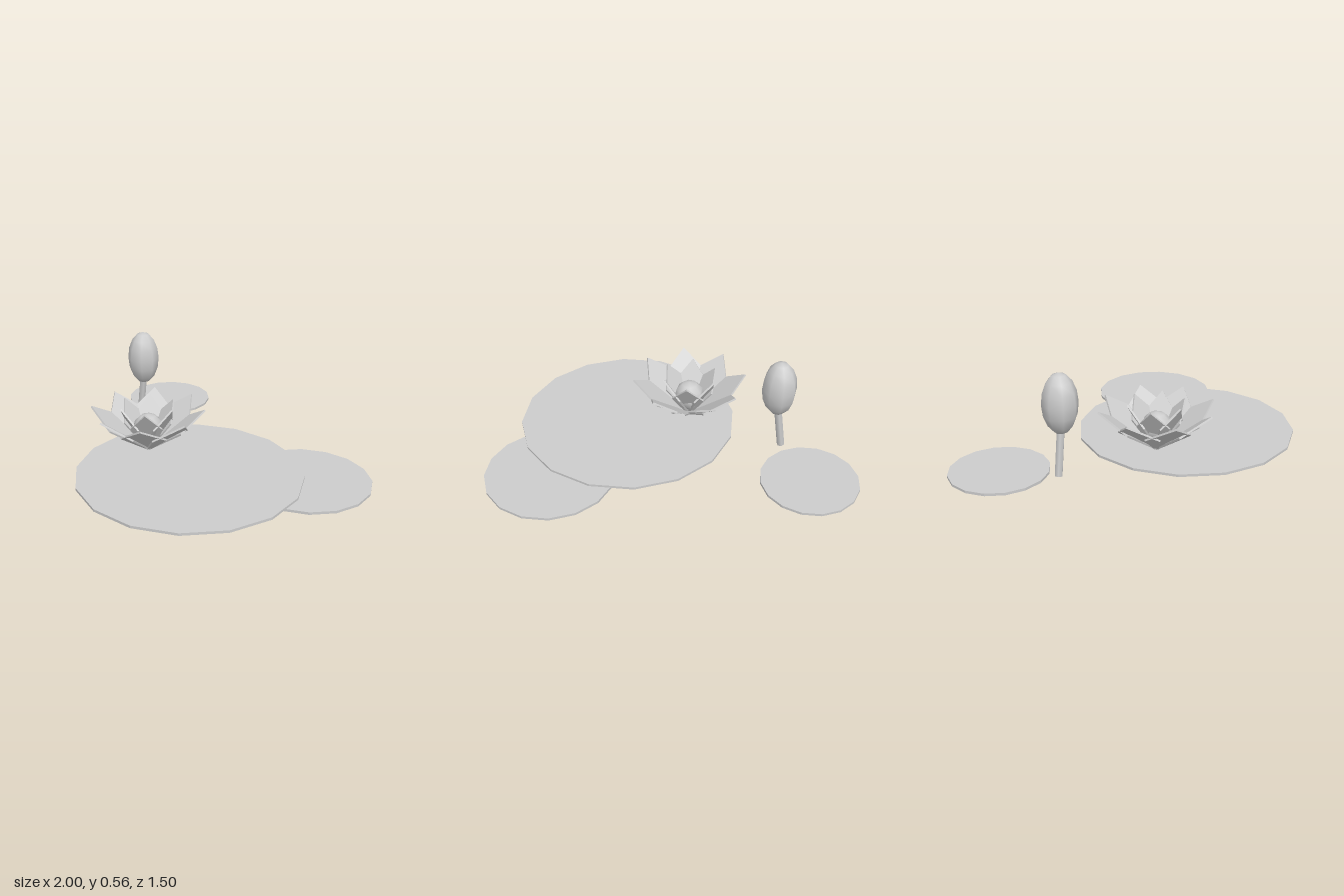
import * as THREE from 'three';

export function createModel() {
  const model = new THREE.Group();
  const grey = new THREE.MeshStandardMaterial({ color: 0xcccccc });
  grey.name = 'plain grey';

  const add = (name, geometry, x, y, z, parent = model) => {
    const mesh = new THREE.Mesh(geometry, grey);
    mesh.name = name;
    mesh.position.set(x, y, z);
    parent.add(mesh);
    return mesh;
  };

  // Floating pads: thin 16-sided discs
  const pad = (name, r, x, y, z) => {
    const disc = new THREE.CylinderGeometry(r, r, 0.014, 16).toNonIndexed();
    disc.computeVertexNormals();
    add(name, disc, x, y + 0.007, z);
  };
  pad('largePad', 0.62, 0.2, 0.013, 0.13);
  pad('backPad', 0.355, 0.64, 0, -0.31);
  pad('sidePad', 0.265, -0.735, 0, -0.49);

  // Closed bud on a leaning stem
  const foot = new THREE.Vector3(-0.645, 0.01, -0.18);
  const neck = new THREE.Vector3(-0.608, 0.26, -0.18);
  const lean = neck.clone().sub(foot);
  const middle = foot.clone().add(neck).multiplyScalar(0.5);
  const stem = add('budStem', new THREE.CylinderGeometry(0.022, 0.022, lean.length(), 6), ...middle.toArray());
  stem.quaternion.setFromUnitVectors(new THREE.Vector3(0, 1, 0), lean.normalize());
  add('bud', new THREE.SphereGeometry(0.095, 8, 8).scale(1, 1.72, 1), -0.605, 0.395, -0.18);

  // Open flower: rings of flat diamond petals around a round centre
  const flower = new THREE.Group();
  flower.name = 'flower';
  flower.position.set(-0.16, 0.03, 0.13);
  model.add(flower);

  const petalRing = (name, count, reach, rise, halfWidth, start) => {
    const length = Math.hypot(reach, rise);
    const shape = new THREE.Shape([
      new THREE.Vector2(-0.012, 0),
      new THREE.Vector2(0.012, 0),
      new THREE.Vector2(halfWidth, length * 0.61),
      new THREE.Vector2(0, length),
      new THREE.Vector2(-halfWidth, length * 0.61),
    ]);
    const geometry = new THREE.ExtrudeGeometry(shape, { depth: 0.01, bevelEnabled: false });
    geometry.translate(0, 0, -0.005);
    geometry.rotateX(Math.atan2(reach, rise));
    for (let i = 0; i < count; i++) {
      add(name, geometry, 0, 0, 0, flower).rotation.y = start + (i * Math.PI * 2) / count;
    }
  };
  petalRing('outerPetal', 8, 0.323, 0.25, 0.125, 0);
  petalRing('innerPetal', 6, 0.163, 0.275, 0.09, THREE.MathUtils.degToRad(47));
  add('flowerCentre', new THREE.SphereGeometry(0.087, 8, 6), 0, 0.13, 0, flower);

  return model;
}
